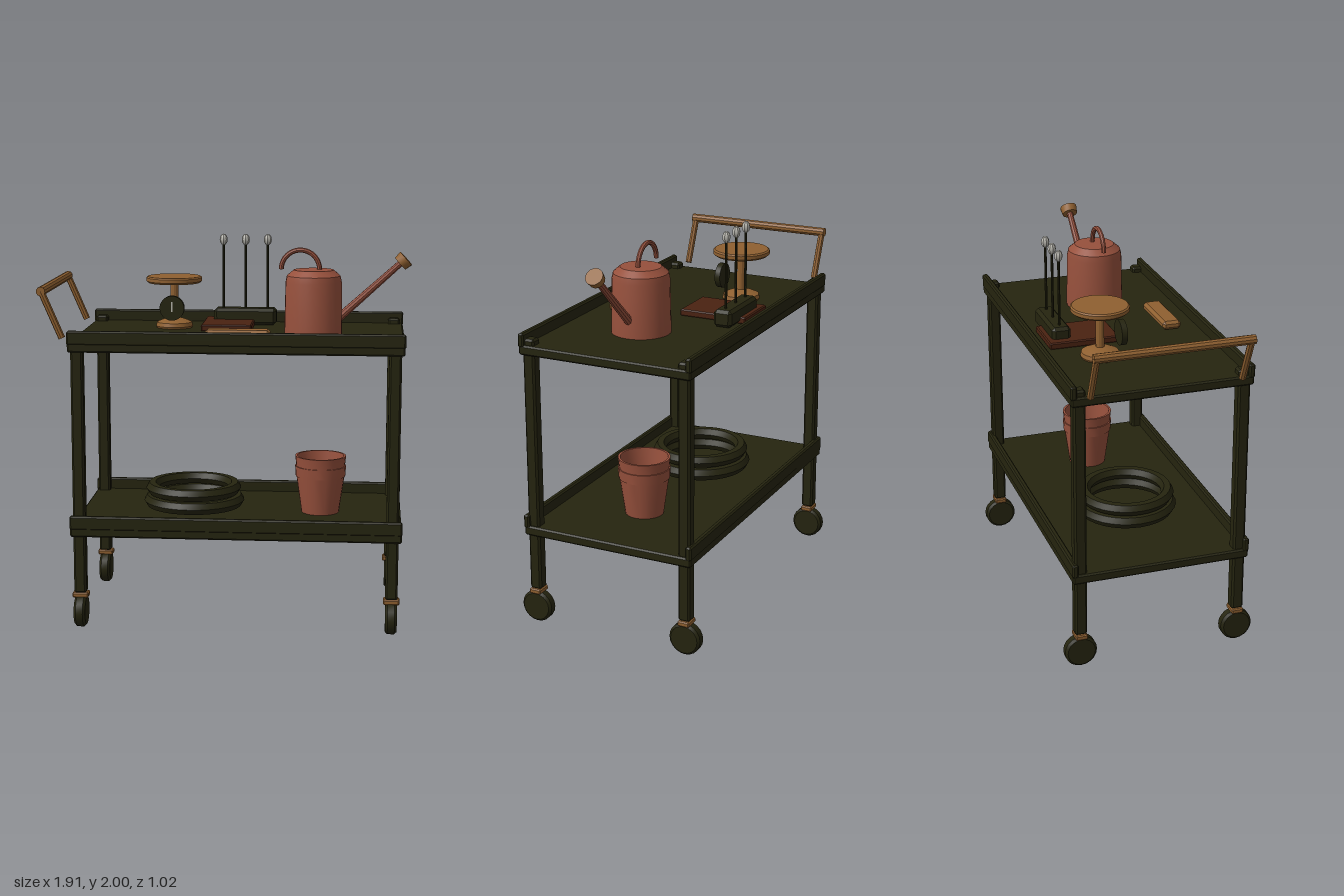
import * as THREE from 'three';
import { toCreasedNormals } from 'three/addons/utils/BufferGeometryUtils.js';
import { ConvexGeometry } from 'three/addons/geometries/ConvexGeometry.js';

const mat = (name, color) => Object.assign(new THREE.MeshStandardMaterial({ color }), { name });

export function createModel() {
  const root = new THREE.Group();
  root.name = 'gardenTrolley';
  const dark = mat('dark olive metal', 0x25240f);
  const wood = mat('tan wood', 0x8f6030);
  const clay = mat('terracotta', 0x96503c);
  const brown = mat('dark brown leather', 0x4a2211);
  const pale = mat('pale grey', 0xb8b6ae);

  const add = (name, geo, material, x = 0, y = 0, z = 0, parent = root) => {
    const mesh = new THREE.Mesh(toCreasedNormals(geo, 0.5), material);
    mesh.name = name;
    mesh.position.set(x, y, z);
    parent.add(mesh);
    return mesh;
  };
  const group = (name, x, y, z) => {
    const g = new THREE.Group();
    g.name = name;
    g.position.set(x, y, z);
    root.add(g);
    return g;
  };
  // Box with all edges chamfered by c
  const chamferBox = (w, h, d, c) => {
    const pts = [];
    for (const sx of [-0.5, 0.5]) for (const sy of [-0.5, 0.5]) for (const sz of [-0.5, 0.5]) {
      const s = new THREE.Vector3(sx * w, sy * h, sz * d);
      const k = new THREE.Vector3(Math.sign(sx) * c, Math.sign(sy) * c, Math.sign(sz) * c);
      for (const axis of ['x', 'y', 'z']) {
        const p = s.clone().sub(k);
        p[axis] = s[axis];
        pts.push(p);
      }
    }
    return new ConvexGeometry(pts);
  };
  const lathe = (profile, sides = 24) =>
    new THREE.LatheGeometry(profile.map(([r, y]) => new THREE.Vector2(r, y)), sides);
  // Straight round bar between two points
  const bar = (name, a, b, r0, r1, sides, material, parent = root) => {
    const from = new THREE.Vector3(...a), to = new THREE.Vector3(...b);
    const dir = to.clone().sub(from);
    const mesh = add(name, new THREE.CylinderGeometry(r1, r0, dir.length(), sides), material, 0, 0, 0, parent);
    mesh.position.copy(from).add(to).multiplyScalar(0.5);
    mesh.quaternion.setFromUnitVectors(new THREE.Vector3(0, 1, 0), dir.normalize());
    return mesh;
  };

  // Two trays with raised front and back lips
  for (const [name, y] of [['lowerTray', 0.49], ['upperTray', 1.455]]) {
    const tray = group(name, 0.068, y, 0);
    add('trayPlate', chamferBox(1.71, 0.05, 0.94, 0.008), dark, 0, 0.025, 0, tray);
    for (const s of [-1, 1])
      add('trayLip', chamferBox(1.715, 0.073, 0.032, 0.008), dark, 0, 0.0735, s * 0.457, tray);
  }

  // Posts, caster collars and wheels
  const wheelProfile = [[0, -0.03], [0.073, -0.03], [0.085, -0.018], [0.085, 0.018], [0.073, 0.03], [0, 0.03]];
  for (const x of [-0.741, 0.875]) for (const z of [-0.425, 0.425]) {
    add('post', chamferBox(0.064, 1.35, 0.064, 0.01), dark, x, 0.86, z);
    add('casterCollar', chamferBox(0.084, 0.028, 0.064, 0.006), wood, x, 0.174, z);
    add('wheel', lathe(wheelProfile, 20), dark, x, 0.085, z).rotation.z = Math.PI / 2;
  }

  // Push handle
  bar('handleGrip', [-0.928, 1.757, -0.405], [-0.928, 1.757, 0.405], 0.024, 0.024, 10, wood);
  for (const z of [-0.388, 0.388])
    bar('handleArm', [-0.825, 1.518, z], [-0.928, 1.757, z], 0.018, 0.018, 8, wood);

  // Kitchen-style weighing scale
  const scale = group('weighingScale', -0.31, 1.505, -0.175);
  add('scaleBase', lathe([[0, 0], [0.095, 0], [0.1, 0.01], [0.095, 0.03], [0.06, 0.045], [0.024, 0.055], [0, 0.055]]), wood, 0, 0, 0, scale);
  add('scaleStem', new THREE.CylinderGeometry(0.022, 0.022, 0.21, 12), wood, 0, 0.15, 0, scale);
  add('scalePlate', lathe([[0, 0.242], [0.138, 0.242], [0.15, 0.252], [0.15, 0.27], [0.142, 0.277], [0, 0.277]], 32), wood, 0, 0, 0, scale);
  add('scaleDial', new THREE.CylinderGeometry(0.066, 0.066, 0.03, 24), dark, 0, 0.117, 0.112, scale).rotation.x = Math.PI / 2;
  add('dialNeedle', new THREE.BoxGeometry(0.007, 0.055, 0.006), pale, 0, 0.125, 0.129, scale);

  // Notebook
  add('notebook', chamferBox(0.27, 0.036, 0.37, 0.006), brown, -0.018, 1.521, -0.205);

  // Rack with three capped stakes
  const rack = group('stakeRack', 0.065, 1.505, -0.312);
  add('rackBlock', chamferBox(0.34, 0.09, 0.1, 0.016), dark, 0, 0.048, 0, rack);
  for (const x of [-0.12, 0, 0.12]) {
    add('stake', new THREE.CylinderGeometry(0.007, 0.007, 0.38, 8), dark, x, 0.265, 0, rack);
    add('stakeCap', new THREE.SphereGeometry(0.022, 8, 6).scale(1, 1.4, 1), pale, x, 0.464, 0, rack);
  }

  // Watering can
  const can = group('wateringCan', 0.447, 1.505, 0.035);
  add('canBody', lathe([[0, 0], [0.152, 0], [0.147, 0.275], [0.14, 0.308], [0.105, 0.338], [0, 0.34]], 28), clay, 0, 0, 0, can);
  add('canHandle', new THREE.TorusGeometry(0.1, 0.013, 8, 20, Math.PI), clay, -0.07, 0.34, 0, can);
  bar('canSpout', [0.12, 0.075, 0], [0.453, 0.378, 0], 0.023, 0.017, 10, clay, can);
  bar('canRose', [0.448, 0.373, 0], [0.479, 0.401, 0], 0.041, 0.046, 16, wood, can);

  // Hand brush
  add('brush', chamferBox(0.335, 0.046, 0.1, 0.014), wood, 0.068, 1.537, 0.29);

  // Nested flower pots, hollow at the top
  add('pottedStack', lathe([
    [0, 0], [0.1, 0], [0.129, 0.2], [0.133, 0.2], [0.136, 0.255], [0.13, 0.255], [0.136, 0.31],
    [0.124, 0.31], [0.105, 0.16], [0, 0.16],
  ]), clay, 0.492, 0.538, 0.002);

  // Coiled hose
  for (const [x, y, r] of [[-0.187, 0.597, 0.236], [-0.19, 0.664, 0.222]])
    add('hoseCoil', new THREE.TorusGeometry(r, 0.034, 6, 32), dark, x, y, 0.004).rotation.x = Math.PI / 2;

  return root;
}
